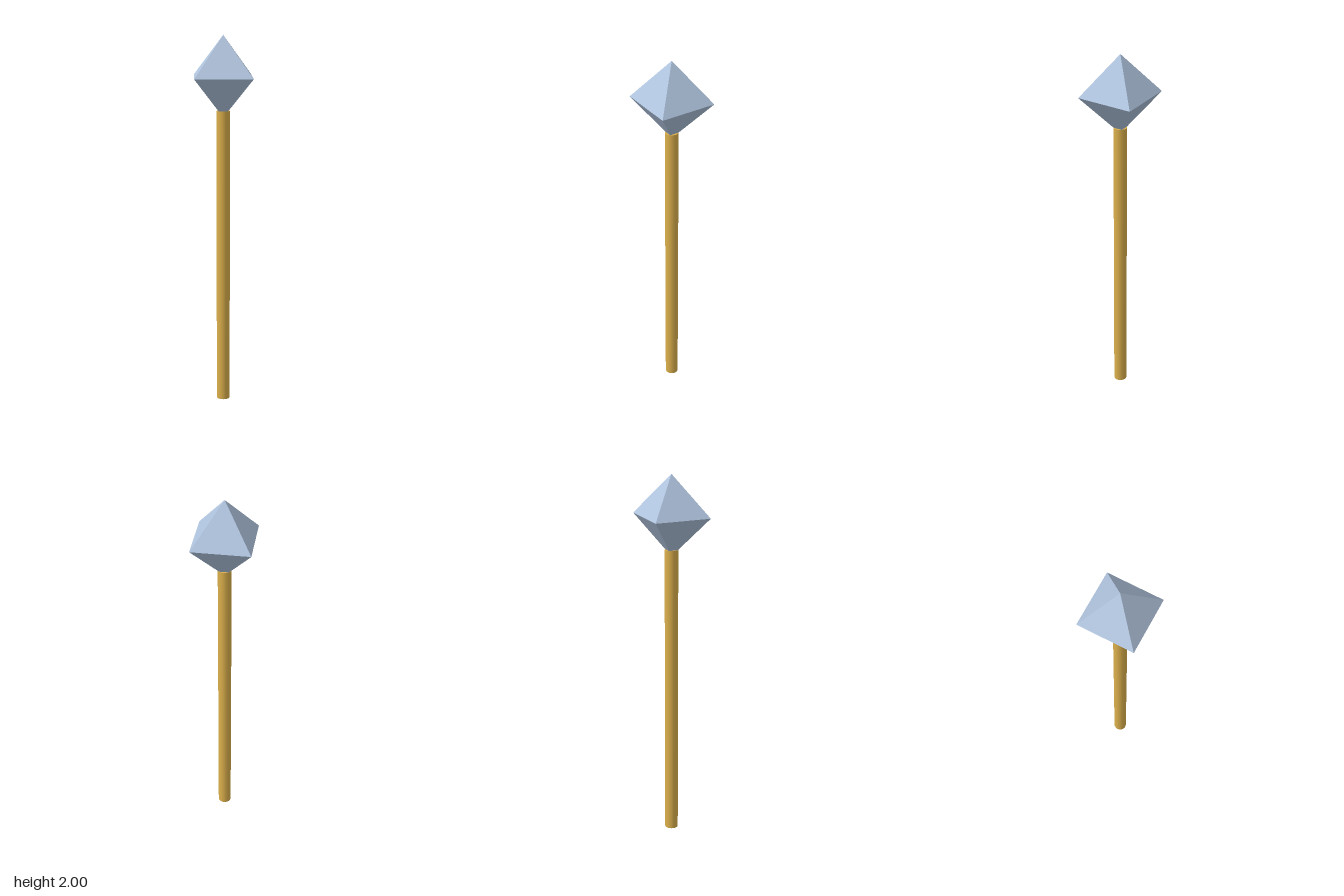
import * as THREE from 'three';

export function createModel() {
  const model = new THREE.Group();
  model.name = 'wand';

  const gold = new THREE.MeshStandardMaterial({ color: 0xdcb04c });
  gold.name = 'gold';
  const paleBlue = new THREE.MeshStandardMaterial({ color: 0xb0c4de });
  paleBlue.name = 'pale blue';
  paleBlue.flatShading = true;

  // Round shaft standing on the ground
  const shaftHeight = 1.607;
  const shaft = new THREE.Mesh(new THREE.CylinderGeometry(0.0357, 0.0357, shaftHeight, 16), gold);
  shaft.name = 'shaft';
  shaft.position.y = shaftHeight / 2;

  // Eight-sided crystal whose lower tip sinks into the shaft
  const crystalRadius = 0.2143;
  const crystal = new THREE.Mesh(new THREE.OctahedronGeometry(crystalRadius), paleBlue);
  crystal.name = 'crystal';
  crystal.position.y = 2 - crystalRadius;

  model.add(shaft, crystal);
  return model;
}
